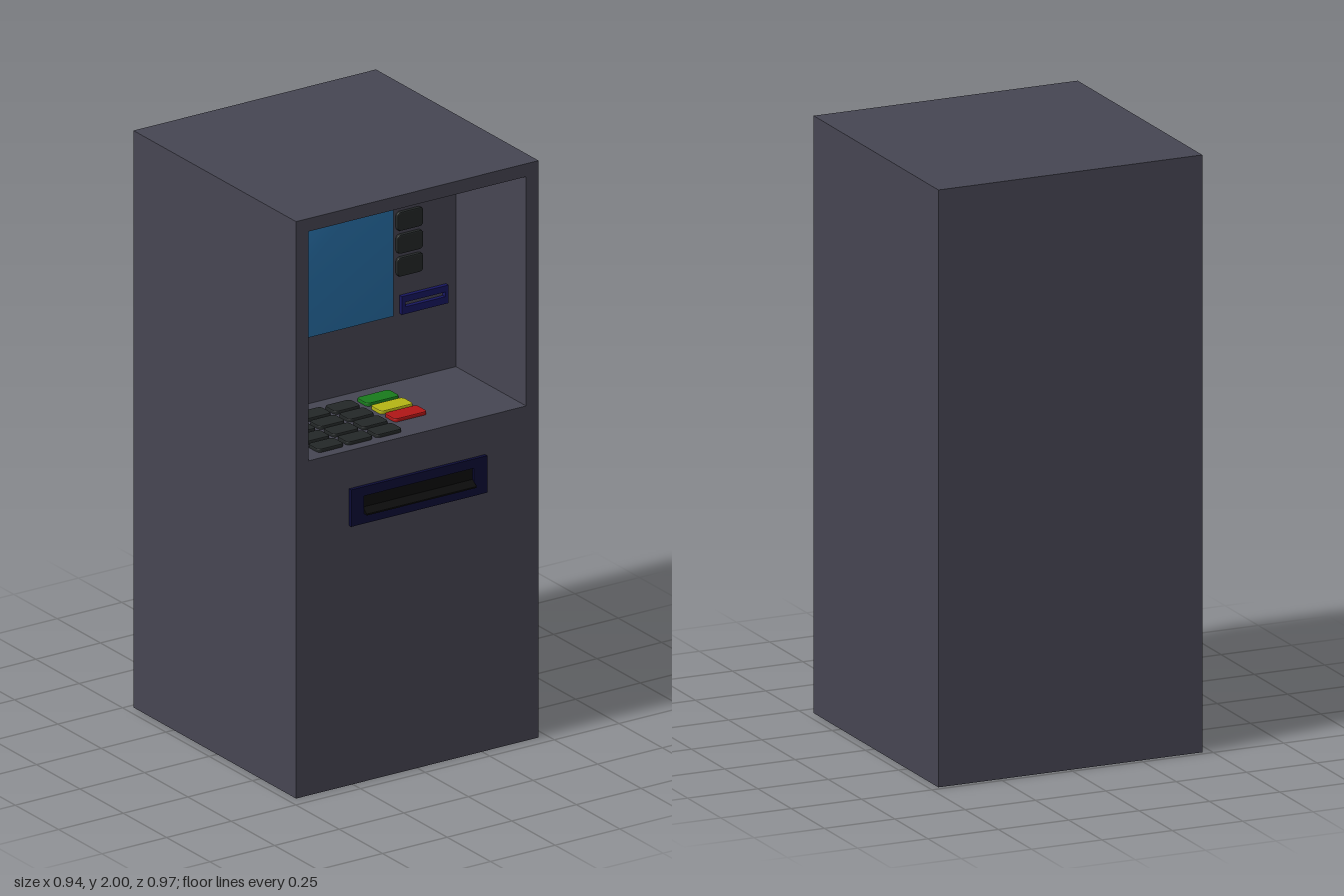
import * as THREE from 'three';
import { mergeVertices } from 'three/addons/utils/BufferGeometryUtils.js';

const paint = (color) => new THREE.MeshStandardMaterial({ color });
const shell = paint(0x464552), dark = paint(0x232727), navy = paint(0x0c0c36), black = paint(0x0c0c0c);

const FRONT = 0.455, BACK = -0.483, WALL = 0.05, FLOOR = 1.16;

function add(parent, name, geometry, material, x = 0, y = 0, z = 0) {
  const mesh = new THREE.Mesh(geometry, material);
  mesh.name = name;
  mesh.position.set(x, y, z);
  parent.add(mesh);
  return mesh;
}

// Rectangle path from opposite corners
function rect(Type, x0, y0, x1, y1) {
  return new Type([[x0, y0], [x1, y0], [x1, y1], [x0, y1]].map(([x, y]) => new THREE.Vector2(x, y)));
}

// Rectangular frame: outer and inner corners, extruded along z
function frame(outer, inner, depth) {
  const shape = rect(THREE.Shape, ...outer);
  shape.holes.push(rect(THREE.Path, ...inner));
  return new THREE.ExtrudeGeometry(shape, { depth, bevelEnabled: false });
}

// Key cap with rounded corners and a small bevel, facing +z
function keyGeometry(w, h, t = 0.012) {
  const b = 0.004, r = 0.01, x = w / 2 - b, y = h / 2 - b;
  const s = new THREE.Shape();
  s.absarc(x - r, y - r, r, 0, Math.PI / 2);
  s.absarc(r - x, y - r, r, Math.PI / 2, Math.PI);
  s.absarc(r - x, r - y, r, Math.PI, Math.PI * 1.5);
  s.absarc(x - r, r - y, r, Math.PI * 1.5, Math.PI * 2);
  return new THREE.ExtrudeGeometry(s, {
    depth: t - b, bevelThickness: b, bevelSize: b, bevelSegments: 2, curveSegments: 4,
  });
}

export function createModel() {
  const model = new THREE.Group();
  model.name = 'cashMachine';

  // Cabinet: solid rear block and a front frame around the recess
  const cabinet = new THREE.Group();
  cabinet.name = 'cabinet';
  model.add(cabinet);
  add(cabinet, 'rearBlock', new THREE.BoxGeometry(0.938, 2, WALL - BACK), shell, 0, 1, (WALL + BACK) / 2);
  add(cabinet, 'recessFrame',
    frame([-0.469, 0, 0.469, 2], [-0.421, FLOOR, 0.421, 1.955], FRONT - WALL), shell, 0, 0, WALL);

  // Screen with softened normals
  let glass = new THREE.BoxGeometry(0.585, 0.555, 0.06);
  glass.deleteAttribute('normal');
  glass.deleteAttribute('uv');
  glass = mergeVertices(glass);
  glass.computeVertexNormals();
  add(model, 'screen', glass, paint(0x2870a8), -0.128, 1.6775, 0.042);

  // Menu buttons beside the screen
  const key = keyGeometry(0.1, 0.066);
  const menu = new THREE.Group();
  menu.name = 'menuButtons';
  model.add(menu);
  for (let i = 0; i < 4; i++) add(menu, 'menuButton', key, dark, 0.238, 1.795 - i * 0.079, WALL);

  // Card reader with an open slit
  add(model, 'cardReader',
    frame([0.202, 1.394, 0.382, 1.457], [0.215, 1.419, 0.37, 1.435], 0.015), paint(0x17165f), 0, 0, WALL);

  // Keypad on the recess floor: four rows of three, plus a coloured column
  const keypad = new THREE.Group();
  keypad.name = 'keypad';
  model.add(keypad);
  const floorKey = (name, geometry, material, x, row) => {
    add(keypad, name, geometry, material, x, FLOOR, FRONT - 0.07 - row * 0.08).rotation.x = -Math.PI / 2;
  };
  for (let row = 0; row < 4; row++) {
    for (let col = 0; col < 3; col++) floorKey('numberKey', key, dark, -0.307 + col * 0.113, row);
  }
  const wide = keyGeometry(0.127, 0.066);
  [['cancelKey', 0xb01616], ['clearKey', 0xb4b414], ['enterKey', 0x187a1c]].forEach(([name, color], i) =>
    floorKey(name, wide, paint(color), 0.056, i + 1));

  // Cash dispenser: plate with opening, dark backing and a sloping lip
  const cash = new THREE.Group();
  cash.name = 'cashDispenser';
  model.add(cash);
  add(cash, 'dispenserPlate',
    frame([-0.264, 0.9, 0.262, 1.028], [-0.214, 0.933, 0.211, 0.996], 0.013), navy, 0, 0, FRONT);
  add(cash, 'dispenserOpening', new THREE.BoxGeometry(0.425, 0.063, 0.004), black, -0.0015, 0.9645, FRONT + 0.002);
  const lip = new THREE.Shape([[0, 0.957], [0, 0.938], [0.028, 0.933], [0.028, 0.938]]
    .map(([z, y]) => new THREE.Vector2(-z, y)));
  add(cash, 'dispenserLip', new THREE.ExtrudeGeometry(lip, { depth: 0.425, bevelEnabled: false }),
    black, -0.214, 0, FRONT).rotation.y = Math.PI / 2;

  return model;
}
